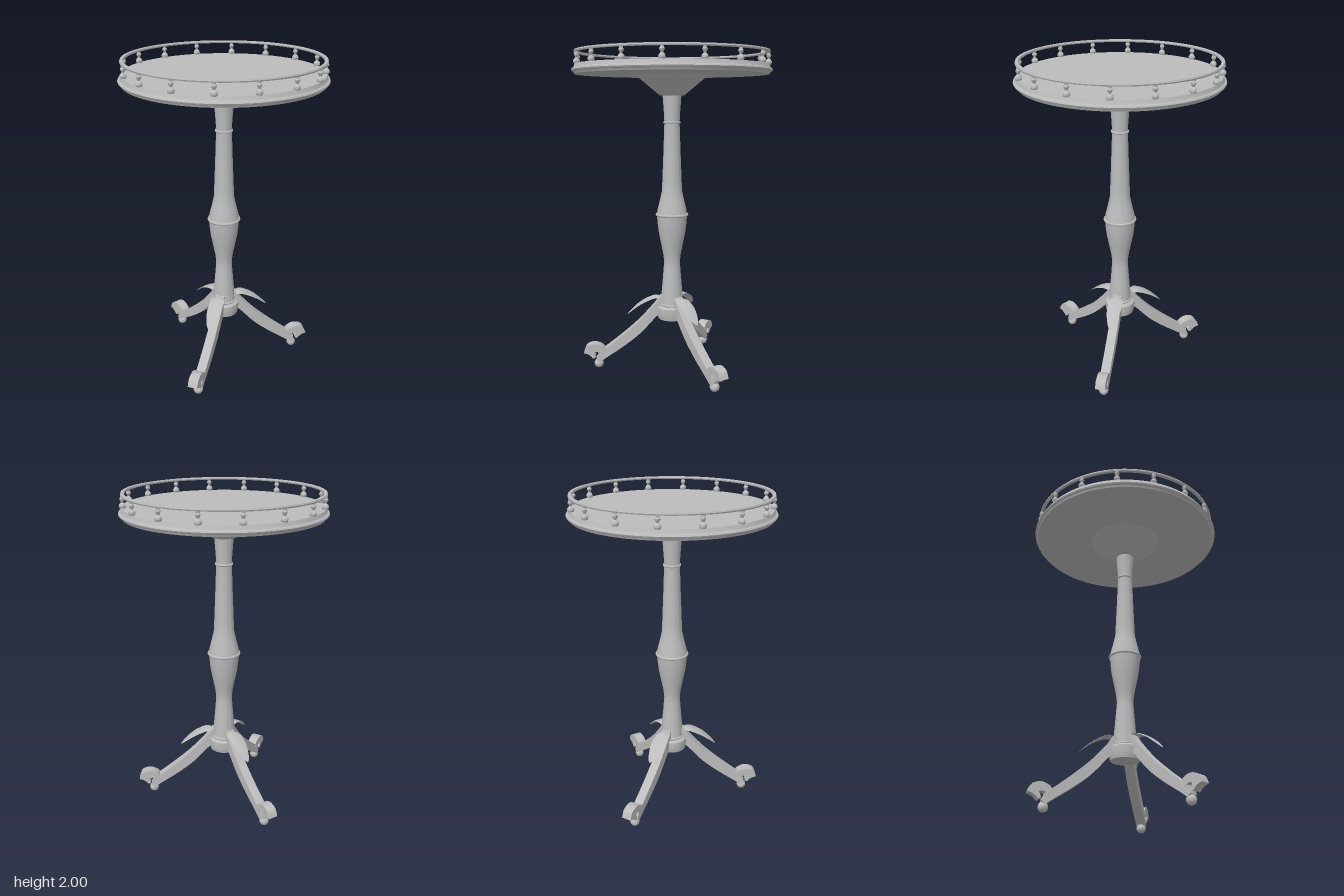
import * as THREE from 'three';
import { toCreasedNormals } from 'three/addons/utils/BufferGeometryUtils.js';

const grey = new THREE.MeshStandardMaterial({ color: 0xbcbcbc, side: THREE.DoubleSide });
grey.name = 'plain grey';

const v2 = (list) => list.map(([x, y]) => new THREE.Vector2(x, y));

function part(name, geometry, parent) {
  const mesh = new THREE.Mesh(geometry, grey);
  mesh.name = name;
  parent.add(mesh);
  return mesh;
}

// Turned part from [radius, height] points, listed upwards
const turned = (points, segments = 48) =>
  toCreasedNormals(new THREE.LatheGeometry(v2(points), segments), 0.6);

// Rounded ring around the column
function bead(parent, radius, tube, y) {
  const mesh = part('bead', new THREE.TorusGeometry(radius, tube, 8, 48), parent);
  mesh.rotation.x = Math.PI / 2;
  mesh.position.y = y;
}

// Side outline given as [distance from axis, height], extruded to a width
function slab(shape, width) {
  const geometry = new THREE.ExtrudeGeometry(shape, { depth: width, bevelEnabled: false, curveSegments: 10 });
  geometry.translate(0, 0, -width / 2);
  return toCreasedNormals(geometry, 0.6);
}

// Pointed leaf arching away from the top of a leg
function leafGeometry() {
  const spine = new THREE.SplineCurve(v2([[0.075, 0.475], [0.115, 0.476], [0.185, 0.443], [0.24, 0.4], [0.287, 0.354]]));
  const geometry = new THREE.PlaneGeometry(1, 1, 14, 6);
  const pos = geometry.attributes.position;
  for (let i = 0; i < pos.count; i++) {
    const t = pos.getX(i) + 0.5;
    const v = pos.getY(i) * 2;
    const p = spine.getPoint(t);
    const half = 0.046 * Math.pow(Math.sin(Math.PI * (0.2 + 0.8 * t)), 0.7);
    pos.setXYZ(i, p.x, p.y - 0.012 * v * v * (1 - t), -v * half);
  }
  geometry.computeVertexNormals();
  return geometry;
}

function createLeg() {
  const leg = new THREE.Group();
  leg.name = 'leg';

  // Curved square-section leg
  const bar = new THREE.Shape();
  bar.moveTo(0.05, 0.48);
  bar.lineTo(0.075, 0.475);
  bar.splineThru(v2([[0.11, 0.425], [0.2, 0.325], [0.3, 0.235], [0.42, 0.14], [0.465, 0.112]]));
  bar.lineTo(0.487, 0.06);
  bar.lineTo(0.465, 0.042);
  bar.splineThru(v2([[0.425, 0.072], [0.3, 0.157], [0.2, 0.238], [0.1, 0.345], [0.05, 0.38]]));
  part('legBar', slab(bar, 0.058), leg);

  // Scroll curling back over the foot
  const scroll = new THREE.Shape();
  scroll.moveTo(0.425, 0.118);
  scroll.splineThru(v2([[0.447, 0.148], [0.495, 0.166], [0.545, 0.15], [0.567, 0.107]]));
  scroll.lineTo(0.54, 0.098);
  scroll.splineThru(v2([[0.52, 0.083], [0.508, 0.07], [0.492, 0.076], [0.495, 0.092], [0.503, 0.108], [0.485, 0.115], [0.46, 0.104]]));
  scroll.lineTo(0.44, 0.1);
  part('scroll', slab(scroll, 0.062), leg);

  // Caster ball
  const ball = part('foot', new THREE.SphereGeometry(0.03, 12, 8), leg);
  ball.position.set(0.472, 0.03, 0);
  const collar = part('footCollar', new THREE.CylinderGeometry(0.016, 0.016, 0.03, 12), leg);
  collar.position.set(0.472, 0.062, 0);

  part('leaf', leafGeometry(), leg);
  return leg;
}

export function createModel() {
  const model = new THREE.Group();
  model.name = 'pedestalTable';

  // Turned column
  part('columnBase', turned([[0, 0.33], [0.088, 0.33], [0.093, 0.35], [0.096, 0.38], [0.096, 0.405], [0.086, 0.415], [0, 0.415]]), model);
  part('lowerColumn', turned([[0.072, 0.41], [0.068, 0.48], [0.06, 0.57], [0.052, 0.67], [0.05, 0.7], [0.056, 0.75], [0.07, 0.82], [0.084, 0.89], [0.091, 0.95], [0.095, 1]]), model);
  part('upperColumn', turned([[0.095, 1], [0.089, 1.04], [0.076, 1.09], [0.063, 1.15], [0.06, 1.22], [0.054, 1.37], [0.047, 1.57], [0.049, 1.62], [0.055, 1.7], [0.058, 1.74]]), model);
  bead(model, 0.071, 0.008, 0.422);
  bead(model, 0.094, 0.009, 1);
  bead(model, 0.048, 0.007, 1.572);

  // Flared support under the top
  part('topSupport', turned([[0, 1.735], [0.075, 1.735], [0.229, 1.862], [0, 1.862]]), model);

  // Round top with moulded edge
  part('tableTop', turned([
    [0, 1.86], [0.588, 1.86], [0.594, 1.872], [0.603, 1.876], [0.607, 1.884], [0.603, 1.892],
    [0.594, 1.895], [0.59, 1.905], [0.586, 1.918], [0, 1.918],
  ], 96), model);

  // Gallery rail
  part('rail', turned([
    [0.57, 1.985], [0.587, 1.985], [0.59, 1.992], [0.587, 2], [0.57, 2], [0.567, 1.992], [0.57, 1.985],
  ], 96), model);

  // Small turned balusters
  const balusterGeometry = turned([
    [0.016, 1.917], [0.02, 1.926], [0.019, 1.936], [0.012, 1.945], [0.007, 1.949], [0.009, 1.955],
    [0.014, 1.963], [0.015, 1.97], [0.01, 1.977], [0.011, 1.986],
  ], 12);
  for (let i = 0; i < 16; i++) {
    const angle = (i * Math.PI) / 8;
    const baluster = part('baluster', balusterGeometry, model);
    baluster.position.set(Math.sin(angle) * 0.58, 0, Math.cos(angle) * 0.58);
  }

  // Three legs, one straight to the back
  for (let i = 0; i < 3; i++) {
    const leg = createLeg();
    leg.rotation.y = Math.PI / 2 + (i * Math.PI * 2) / 3;
    model.add(leg);
  }
  return model;
}
